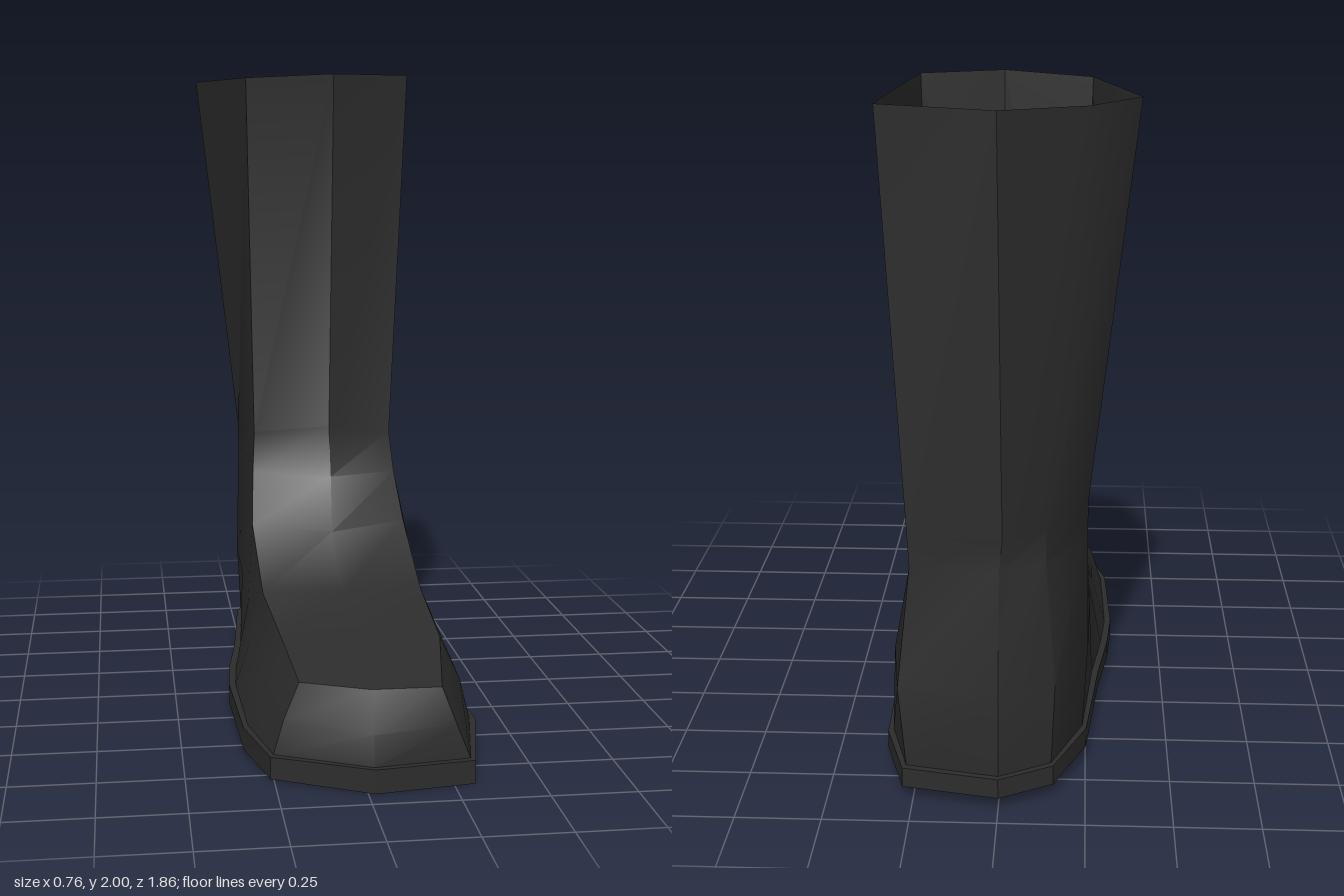
import * as THREE from 'three';
import { toCreasedNormals } from 'three/addons/utils/BufferGeometryUtils.js';

// Each station runs round the foot: [upper edge, mid wall, sole seam], as [x, y, z].
// Order: toe centre, left side front to back, heel, right side back to front.
const STATIONS = [
  [[0.02, 0.275, 0.85], [0.02, 0.16, 0.9], [0.02, 0.07, 0.91]],
  [[0.22, 0.275, 0.85], [0.26, 0.17, 0.87], [0.3, 0.07, 0.87]],
  [[0.27, 0.33, 0.55], [0.33, 0.2, 0.56], [0.36, 0.08, 0.56]],
  [[0.27, 0.39, 0.23], [0.31, 0.23, 0.2], [0.33, 0.085, 0.17]],
  [[0.26, 0.55, -0.05], [0.32, 0.3, -0.07], [0.325, 0.09, -0.1]],
  [[0.24, 0.7, -0.13], [0.32, 0.34, -0.3], [0.33, 0.1, -0.35]],
  [[0.26, 0.7, -0.57], [0.325, 0.35, -0.6], [0.33, 0.1, -0.64]],
  [[0.255, 0.7, -0.82], [0.29, 0.35, -0.87], [0.27, 0.1, -0.86]],
  [[0, 0.7, -0.84], [0, 0.35, -0.92], [0, 0.1, -0.915]],
  [[-0.13, 0.7, -0.77], [-0.16, 0.35, -0.83], [-0.15, 0.1, -0.83]],
  [[-0.25, 0.7, -0.53], [-0.255, 0.35, -0.56], [-0.24, 0.1, -0.6]],
  [[-0.23, 0.7, -0.14], [-0.26, 0.34, -0.25], [-0.27, 0.09, -0.22]],
  [[-0.24, 0.55, -0.05], [-0.26, 0.3, 0], [-0.3, 0.09, 0]],
  [[-0.23, 0.39, 0.22], [-0.27, 0.23, 0.2], [-0.315, 0.085, 0.18]],
  [[-0.2, 0.33, 0.5], [-0.27, 0.2, 0.53], [-0.305, 0.08, 0.55]],
  [[-0.175, 0.275, 0.76], [-0.22, 0.17, 0.77], [-0.25, 0.07, 0.775]],
];

// Skin a list of rows, bottom to top, into triangles.
function loft(rows, closed) {
  const out = [];
  for (let r = 0; r + 1 < rows.length; r++) {
    const a = rows[r], b = rows[r + 1], n = a.length;
    for (let i = 0; i < (closed ? n : n - 1); i++) {
      const j = (i + 1) % n;
      out.push(a[i], a[j], b[j], a[i], b[j], b[i]);
    }
  }
  return out;
}

function buildMesh(name, points, material, crease) {
  const geometry = new THREE.BufferGeometry();
  geometry.setAttribute('position', new THREE.Float32BufferAttribute(points.flat(), 3));
  const mesh = new THREE.Mesh(toCreasedNormals(geometry, crease), material);
  mesh.name = name;
  return mesh;
}

export function createModel() {
  const boot = new THREE.Group();
  boot.name = 'boot';
  const rubber = new THREE.MeshStandardMaterial({ color: 0x2c2c2c, side: THREE.DoubleSide });
  rubber.name = 'black rubber';

  const edge = STATIONS.map((s) => s[0]);
  const mid = STATIONS.map((s) => s[1]);
  const seam = STATIONS.map((s) => s[2]);

  // Foot: side walls plus the instep panel from toe to ankle
  const ankleFront = [0.02, 0.7, -0.06];
  const ridge = [edge[0], [0.03, 0.338, 0.55], [0.02, 0.395, 0.25], [0.01, 0.54, 0.05], ankleFront];
  const instep = ridge.map((p, k) => [edge[15 - k], p, edge[1 + k]]);
  const foot = [...loft([seam, mid, edge], true), ...loft(instep, false)];

  // Shaft: ankle, narrow point and open rim
  const ankle = [ankleFront, ...edge.slice(5, 12)];
  const narrow = [
    [0.02, 0.86, -0.11], [0.23, 0.83, -0.17], [0.255, 0.8, -0.58], [0.26, 0.8, -0.82],
    [-0.01, 0.8, -0.85], [-0.13, 0.8, -0.77], [-0.25, 0.8, -0.53], [-0.22, 0.83, -0.2],
  ];
  const rim = [
    [0.02, 2, 0.01], [0.27, 2, -0.09], [0.315, 2, -0.58], [0.33, 2, -0.79],
    [0, 2, -0.91], [-0.24, 1.99, -0.73], [-0.385, 1.99, -0.54], [-0.25, 1.99, -0.08],
  ];
  const shaft = loft([ankle, narrow, rim], true);
  boot.add(buildMesh('upper', [...foot, ...shaft], rubber, 0.6));

  // Sole: a thin slab that sticks out past the seam, with a slightly raised heel
  const soleTop = seam.map(([x, y, z]) => {
    const d = Math.hypot(x, z * 0.6);
    return [x + (0.022 * x) / d, y, z + (0.019 * z) / Math.max(Math.abs(z), 0.5)];
  });
  const soleBottom = soleTop.map(([x, , z]) => [x, z > -0.2 ? (0.04 * (0.93 - z)) / 1.13 : 0.04, z]);
  const sole = loft([soleBottom, soleTop, seam], true);
  const base = [0.02, 0.033, 0];
  soleBottom.forEach((p, i) => sole.push(base, soleBottom[(i + 1) % soleBottom.length], p));
  boot.add(buildMesh('sole', sole, rubber, 0.5));

  return boot;
}
